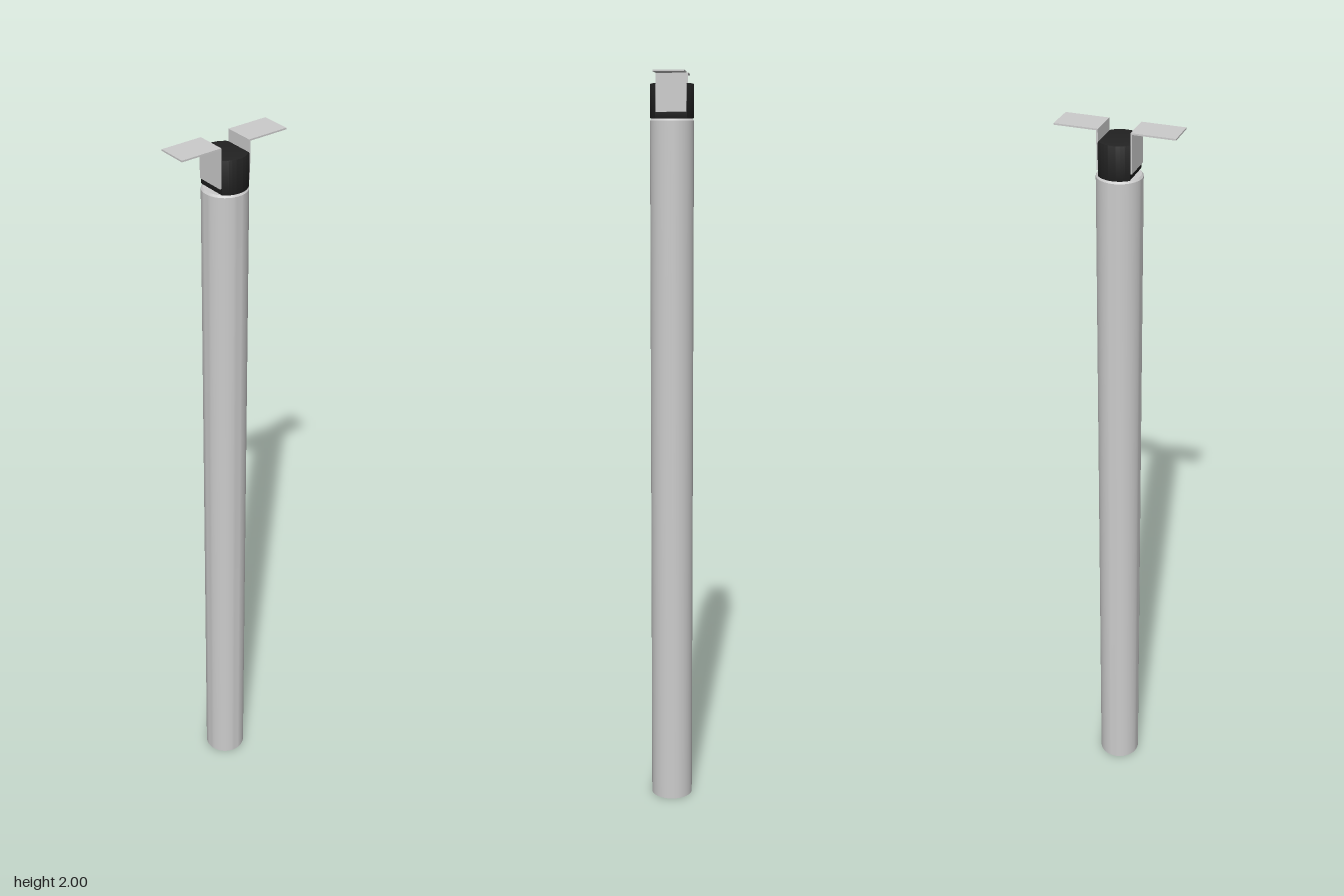
import * as THREE from 'three';
import { toCreasedNormals } from 'three/addons/utils/BufferGeometryUtils.js';

const R = 0.057;      // post radius
const FLAT = 0.04;    // half depth of the cap between its flats

export function createModel() {
  const model = new THREE.Group();
  const grey = new THREE.MeshStandardMaterial({ color: 0xcccccc });
  const black = new THREE.MeshStandardMaterial({ color: 0x222222 });
  const add = (name, geometry, material, parent = model) => {
    const mesh = new THREE.Mesh(geometry, material);
    mesh.name = name;
    parent.add(mesh);
    return mesh;
  };

  // Round post, closed at both ends, with a slightly eased top edge
  const profile = [[0, 0], [R, 0], [R, 1.878], [R - 0.004, 1.883], [0, 1.883]]
    .map(([x, y]) => new THREE.Vector2(x, y));
  add('post', toCreasedNormals(new THREE.LatheGeometry(profile, 48), 0.5), grey);

  // Dark cap: a disc with flats at front and back and eased edges
  const bevel = 0.004;
  const r = R - bevel, flat = FLAT - bevel;
  const a = Math.asin(flat / r);
  const outline = new THREE.Shape();
  outline.absarc(0, 0, r, -a, a, false);
  outline.absarc(0, 0, r, Math.PI - a, Math.PI + a, false);
  outline.closePath();
  const cap = new THREE.ExtrudeGeometry(outline, {
    depth: 0.088 - 2 * bevel, curveSegments: 20,
    bevelSize: bevel, bevelThickness: bevel, bevelSegments: 2,
  });
  cap.rotateX(-Math.PI / 2).translate(0, 1.883 + bevel, 0);
  add('cap', toCreasedNormals(cap, 0.5), black);

  // Bent sheet brackets: upright against the cap flat, flange turned outwards
  const t = 0.004, width = 0.078, foot = 1.9;
  const section = new THREE.Shape([
    [FLAT, foot], [FLAT + t, foot], [FLAT + t, 2 - t],
    [0.15, 2 - t], [0.15, 2], [FLAT, 2],
  ].map(([x, y]) => new THREE.Vector2(x, y)));
  const bracket = new THREE.ExtrudeGeometry(section, { depth: width, bevelEnabled: false });
  bracket.translate(0, 0, -width / 2);
  for (const [name, side] of [['frontBracket', -1], ['backBracket', 1]]) {
    add(name, bracket, grey).rotation.y = side * Math.PI / 2;
  }
  return model;
}
